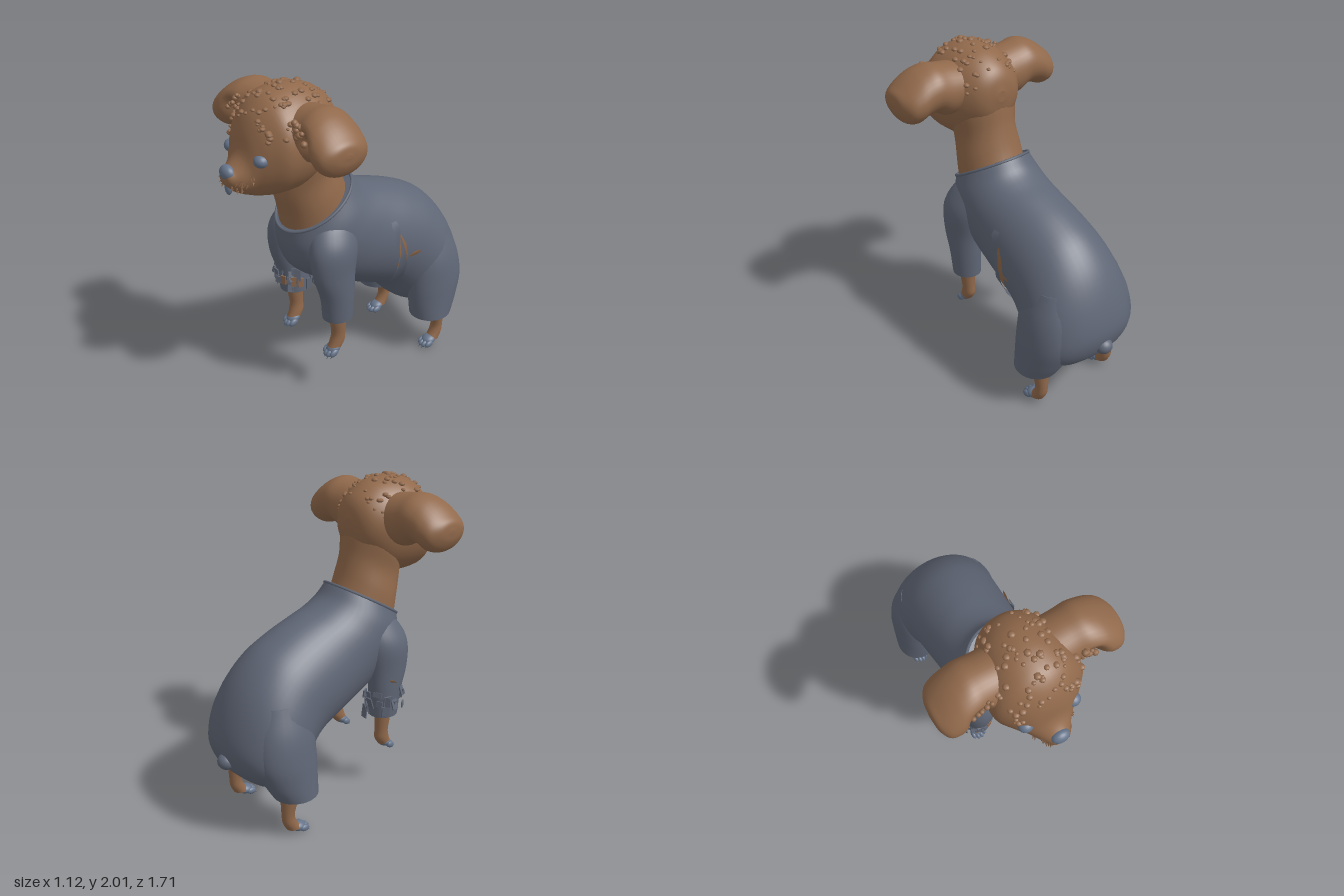
import * as THREE from 'three';
import { mergeGeometries } from 'three/addons/utils/BufferGeometryUtils.js';

const V = (x, y, z) => new THREE.Vector3(x, y, z);

// Cross-sections: an upright one from top and bottom points (z, y), and a level one
const span = (tz, ty, bz, by, w, x = 0) => ({
  c: V(x, (ty + by) / 2, (tz + bz) / 2), a: V(0, (ty - by) / 2, (tz - bz) / 2), b: V(w, 0, 0) });
const level = (s, y, x, z, rx, rz) => ({ c: V(s * x, y, z), a: V(0, 0, rz), b: V(rx, 0, 0) });

// Smooth skin through elliptical cross-sections, closed by flat ends
function loft(stations, steps = 32, sides = 32, warp = null) {
  const [C, A, B] = ['c', 'a', 'b'].map(k => new THREE.CatmullRomCurve3(stations.map(s => s[k]), false, 'catmullrom', 0.5));
  const at = (t, ang) => {
    const p = C.getPoint(t).addScaledVector(A.getPoint(t), Math.cos(ang)).addScaledVector(B.getPoint(t), Math.sin(ang));
    return warp ? warp(p) : p;
  };
  const pos = [], idx = [];
  const ring = t => {
    for (let j = 0; j < sides; j++) pos.push(...at(t, j / sides * 2 * Math.PI).toArray());
  };
  for (let i = 0; i <= steps; i++) ring(i / steps);
  for (let i = 0; i < steps; i++) for (let j = 0; j < sides; j++) {
    const k = (j + 1) % sides, r = i * sides, q = r + sides;
    idx.push(r + j, q + j, r + k, r + k, q + j, q + k);
  }
  for (const t of [0, 1]) {
    const o = pos.length / 3;
    ring(t);
    pos.push(...C.getPoint(t).toArray());
    for (let j = 0; j < sides; j++) {
      const k = (j + 1) % sides;
      idx.push(o + sides, ...(t ? [o + k, o + j] : [o + j, o + k]));
    }
  }
  // Turn every face outward
  let volume = 0;
  for (let i = 0; i < idx.length; i += 3) {
    const [p, q, r] = [0, 1, 2].map(n => V().fromArray(pos, idx[i + n] * 3));
    volume += p.dot(q.cross(r));
  }
  if (volume < 0) idx.reverse();
  const geo = new THREE.BufferGeometry();
  geo.setAttribute('position', new THREE.Float32BufferAttribute(pos, 3));
  geo.setIndex(idx);
  geo.computeVertexNormals();
  geo.userData = { at };
  return geo;
}

const blob = (x, y, z, rx, ry, rz, tilt = 0) =>
  new THREE.SphereGeometry(1, 20, 14).scale(rx, ry, rz).rotateX(tilt).translate(x, y, z);

export function createModel() {
  const model = new THREE.Group();
  const mat = (name, color, side = THREE.FrontSide) => {
    const m = new THREE.MeshStandardMaterial({ color, side });
    m.name = name;
    return m;
  };
  const fur = mat('brown fur', 0x91694b, THREE.DoubleSide);
  const cloth = mat('slate cloth', 0x5f6675, THREE.DoubleSide);
  const grey = mat('blue grey', 0x66748a);
  const add = (name, geo, m) => {
    const mesh = new THREE.Mesh(geo, m);
    mesh.name = name;
    model.add(mesh);
    return mesh;
  };
  let seed = 7;
  const rnd = () => (seed = (seed * 16807) % 2147483647) / 2147483647;

  // Suit body from collar to rump
  const bodyGeo = loft([
    span(0.03, 1.38, 0.48, 1.11, 0.225), span(-0.03, 1.31, 0.475, 0.98, 0.265),
    span(-0.12, 1.265, 0.42, 0.84, 0.28), span(-0.25, 1.225, 0.25, 0.71, 0.285),
    span(-0.41, 1.165, 0.0, 0.59, 0.30), span(-0.56, 1.08, -0.2, 0.5, 0.315),
    span(-0.69, 0.94, -0.32, 0.38, 0.34), span(-0.78, 0.76, -0.41, 0.31, 0.345),
    span(-0.825, 0.57, -0.52, 0.285, 0.30), span(-0.785, 0.42, -0.6, 0.29, 0.19),
    span(-0.7, 0.35, -0.65, 0.32, 0.04)], 50, 48);
  const body = add('suitBody', bodyGeo, cloth);
  const rim = Array.from({ length: 32 }, (_, i) => bodyGeo.userData.at(0, i / 16 * Math.PI));
  add('collarRim', new THREE.TubeGeometry(new THREE.CatmullRomCurve3(rim, true), 64, 0.009, 6, true), cloth);
  add('tailBump', blob(0, 0.48, -0.8, 0.055, 0.05, 0.055), cloth);

  // Neck and head
  add('neck', loft([
    span(0.06, 1.32, 0.455, 1.06, 0.205), span(0.1, 1.42, 0.475, 1.2, 0.2),
    span(0.135, 1.55, 0.505, 1.33, 0.185), span(0.16, 1.7, 0.5, 1.43, 0.2),
    span(0.2, 1.8, 0.5, 1.55, 0.2)]), fur);
  const headGeo = loft([
    [0.145, 1.77, 1.7, 0.03], [0.165, 1.85, 1.6, 0.11], [0.21, 1.91, 1.53, 0.17],
    [0.3, 1.965, 1.43, 0.225], [0.42, 1.99, 1.39, 0.255], [0.52, 1.98, 1.385, 0.27],
    [0.6, 1.95, 1.39, 0.26], [0.67, 1.88, 1.4, 0.2], [0.715, 1.79, 1.415, 0.15],
    [0.75, 1.67, 1.43, 0.115], [0.8, 1.61, 1.46, 0.08], [0.84, 1.59, 1.5, 0.05],
    [0.85, 1.57, 1.53, 0.02]].map(([z, t, b, w]) => span(z, t, z, b, w)), 52, 44);
  add('head', headGeo, fur);

  // Curly tufts on the crown and scruff around the mouth
  const tufts = [];
  for (let i = 0; i < 110; i++) {
    const p = headGeo.userData.at(0.16 + 0.46 * rnd(), (rnd() - 0.5) * 2.6);
    const r = 0.008 + 0.009 * rnd();
    tufts.push(new THREE.SphereGeometry(r, 7, 5).scale(1.3, 0.9, 1.3).translate(p.x, p.y, p.z));
  }
  for (const s of [-1, 1]) for (let i = 0; i < 16; i++) {
    const p = headGeo.userData.at(0.71 + 0.18 * rnd(), s * (1.6 + 0.9 * rnd()));
    tufts.push(new THREE.ConeGeometry(0.012, 0.04, 5).rotateX(Math.PI * 0.8).rotateZ(s * rnd()).translate(p.x, p.y, p.z));
  }
  add('furTufts', mergeGeometries(tufts), fur);

  // Nose and lip
  add('nose', blob(0, 1.57, 0.82, 0.055, 0.045, 0.038), grey);
  add('lip', blob(0, 1.49, 0.818, 0.024, 0.05, 0.022), grey);

  for (const s of [-1, 1]) {
    const side = s > 0 ? 'left' : 'right';
    add(side + 'Eye', blob(s * 0.143, 1.65, 0.697, 0.043, 0.037, 0.042), grey);

    // Folded ear, hollowed at the lower front beside the cheek
    const hollow = p => {
      const d = Math.exp(-(((Math.abs(p.x) - 0.335) / 0.05) ** 2));
      if (p.z > 0.42) p.z -= 0.6 * d * (p.z - 0.42) * THREE.MathUtils.smoothstep(1.86 - p.y, 0, 0.1);
      return p;
    };
    const ear = [[0.14, 1.76, 0.41, 0.15, 0.16], [0.25, 1.765, 0.41, 0.16, 0.16],
      [0.33, 1.79, 0.415, 0.145, 0.165], [0.4, 1.775, 0.425, 0.14, 0.17], [0.46, 1.745, 0.43, 0.135, 0.17],
      [0.515, 1.73, 0.435, 0.105, 0.15], [0.55, 1.74, 0.44, 0.06, 0.09], [0.56, 1.745, 0.44, 0.01, 0.015]];
    add(side + 'Ear', loft(ear.map(([x, y, z, ry, rz]) =>
      ({ c: V(s * x, y, z), a: V(0, ry, 0), b: V(0, 0, rz) })), 36, 36, hollow), fur);
    add(side + 'InnerEar', blob(s * 0.335, 1.7, 0.46, 0.035, 0.065, 0.03, 0.2), grey);
    const curls = [];
    for (let i = 0; i < 9; i++)
      curls.push(new THREE.IcosahedronGeometry(0.013 + 0.008 * rnd(), 1).translate(
        s * (0.27 + 0.015 * i * rnd()), 1.87 - 0.012 * i, 0.54 + 0.03 * rnd()));
    add(side + 'EarCurls', mergeGeometries(curls), fur);

    // Sleeve and trouser leg
    const tube = (rows, steps) => loft(rows.map(r => level(s, ...r)), steps, 28);
    add(side + 'Sleeve', tube([[0.53, 0.22, 0.255, 0.09, 0.095], [0.68, 0.225, 0.26, 0.093, 0.11],
      [0.84, 0.225, 0.28, 0.098, 0.14], [1.0, 0.208, 0.27, 0.115, 0.16],
      [1.12, 0.172, 0.24, 0.1, 0.145], [1.22, 0.13, 0.2, 0.07, 0.09]], 28), cloth);
    add(side + 'TrouserLeg', tube([[0.27, 0.262, -0.5, 0.132, 0.14], [0.38, 0.25, -0.525, 0.137, 0.175],
      [0.52, 0.235, -0.545, 0.143, 0.2], [0.68, 0.21, -0.54, 0.142, 0.19], [0.85, 0.17, -0.53, 0.12, 0.14]], 24), cloth);

    // Legs
    add(side + 'FrontLeg', tube([[0.6, 0.22, 0.25, 0.055, 0.06], [0.5, 0.22, 0.252, 0.048, 0.053],
      [0.41, 0.218, 0.248, 0.041, 0.045], [0.35, 0.215, 0.255, 0.042, 0.05], [0.3, 0.213, 0.28, 0.04, 0.045]], 18), fur);
    add(side + 'HindLeg', tube([[0.34, 0.268, -0.55, 0.06, 0.065], [0.25, 0.27, -0.553, 0.052, 0.055],
      [0.15, 0.27, -0.565, 0.04, 0.04], [0.09, 0.27, -0.555, 0.041, 0.044], [0.04, 0.27, -0.525, 0.042, 0.05]], 18), fur);

    // Paws with four toes
    const paw = (name, x, y, z, tilt) => {
      const parts = [blob(0, 0, -0.01, 0.046, 0.032, 0.05)];
      for (let i = 0; i < 4; i++) {
        const o = i - 1.5, f = 0.035 - 0.007 * o * o;
        parts.push(blob(o * 0.024, -0.008, f, 0.016, 0.022, 0.034));
        parts.push(new THREE.ConeGeometry(0.008, 0.028, 6).rotateX(2.1).translate(o * 0.024, -0.018, f + 0.03));
      }
      add(name, mergeGeometries(parts).rotateX(tilt).translate(s * x, y, z), grey);
    };
    paw(side + 'FrontPaw', 0.212, 0.3, 0.29, 0.45);
    paw(side + 'HindPaw', 0.27, 0.036, -0.487, 0.18);
  }

  // Ragged cuff on the right sleeve, with fur showing through
  const shreds = [], holes = [];
  for (let i = 0; i < 34; i++) {
    const a = rnd() * Math.PI * 2, y = 0.55 + 0.15 * rnd(), r = 0.1 + 0.02 * rnd();
    const g = new THREE.BoxGeometry(0.02 + 0.04 * rnd(), 0.03 + 0.05 * rnd(), 0.008)
      .rotateX((rnd() - 0.5) * 0.7).rotateY(a + (rnd() - 0.5)).translate(-0.22 + Math.sin(a) * r, y, 0.257 + Math.cos(a) * r * 1.1);
    shreds.push(g);
  }
  for (const [x, y, z, a] of [[-0.125, 0.63, 0.33, 0.9], [-0.1, 0.62, 0.29, 1.2], [-0.17, 0.64, 0.375, 0.4]])
    holes.push(new THREE.BoxGeometry(0.035, 0.06, 0.008).rotateY(a).translate(x, y, z));
  holes.push(new THREE.ConeGeometry(0.012, 0.06, 4).rotateZ(1.4).translate(-0.335, 0.79, 0.23));
  add('cuffShreds', mergeGeometries(shreds), cloth);
  add('cuffHoles', mergeGeometries(holes), fur);

  // Torn slit on the left flank, laid on the cloth: rows are [y, z, half width, lift]
  body.updateMatrixWorld();
  const ray = new THREE.Raycaster();
  const skin = (y, z) => {
    ray.set(V(2, y, z), V(-1, 0, 0));
    const hit = ray.intersectObject(body)[0];
    return hit ? hit.point.x : 0.2;
  };
  const strip = (name, rows, m) => {
    const pos = [], idx = [];
    rows.forEach(([y, z, w, lift], i) => {
      for (const e of [1, -1]) pos.push(skin(y, z + e * w) + lift, y, z + e * w);
      if (i) idx.push(2 * i - 2, 2 * i, 2 * i - 1, 2 * i - 1, 2 * i, 2 * i + 1);
    });
    const g = new THREE.BufferGeometry();
    g.setAttribute('position', new THREE.Float32BufferAttribute(pos, 3));
    g.setIndex(idx);
    g.computeVertexNormals();
    add(name, g, m);
  };
  strip('slitOpening', [[0.97, -0.18, 0.004, 0.005], [0.9, -0.195, 0.025, 0.006], [0.82, -0.205, 0.03, 0.006],
    [0.72, -0.205, 0.03, 0.006], [0.64, -0.205, 0.02, 0.006]], fur);
  strip('slitFlap', [[0.95, -0.175, 0.006, 0.012], [0.85, -0.188, 0.018, 0.02], [0.75, -0.195, 0.032, 0.022],
    [0.65, -0.2, 0.036, 0.018], [0.58, -0.208, 0.022, 0.012], [0.55, -0.215, 0.004, 0.006]], cloth);
  strip('upperScrap', [[1.06, -0.14, 0.02, 0.012], [1.03, -0.145, 0.032, 0.02], [0.99, -0.155, 0.018, 0.015],
    [0.94, -0.15, 0.018, 0.012], [0.88, -0.15, 0.006, 0.006]], cloth);
  strip('rearScrap', [[0.835, -0.285, 0.015, 0.025], [0.82, -0.28, 0.045, 0.025], [0.8, -0.27, 0.025, 0.015]], fur);
  return model;
}
